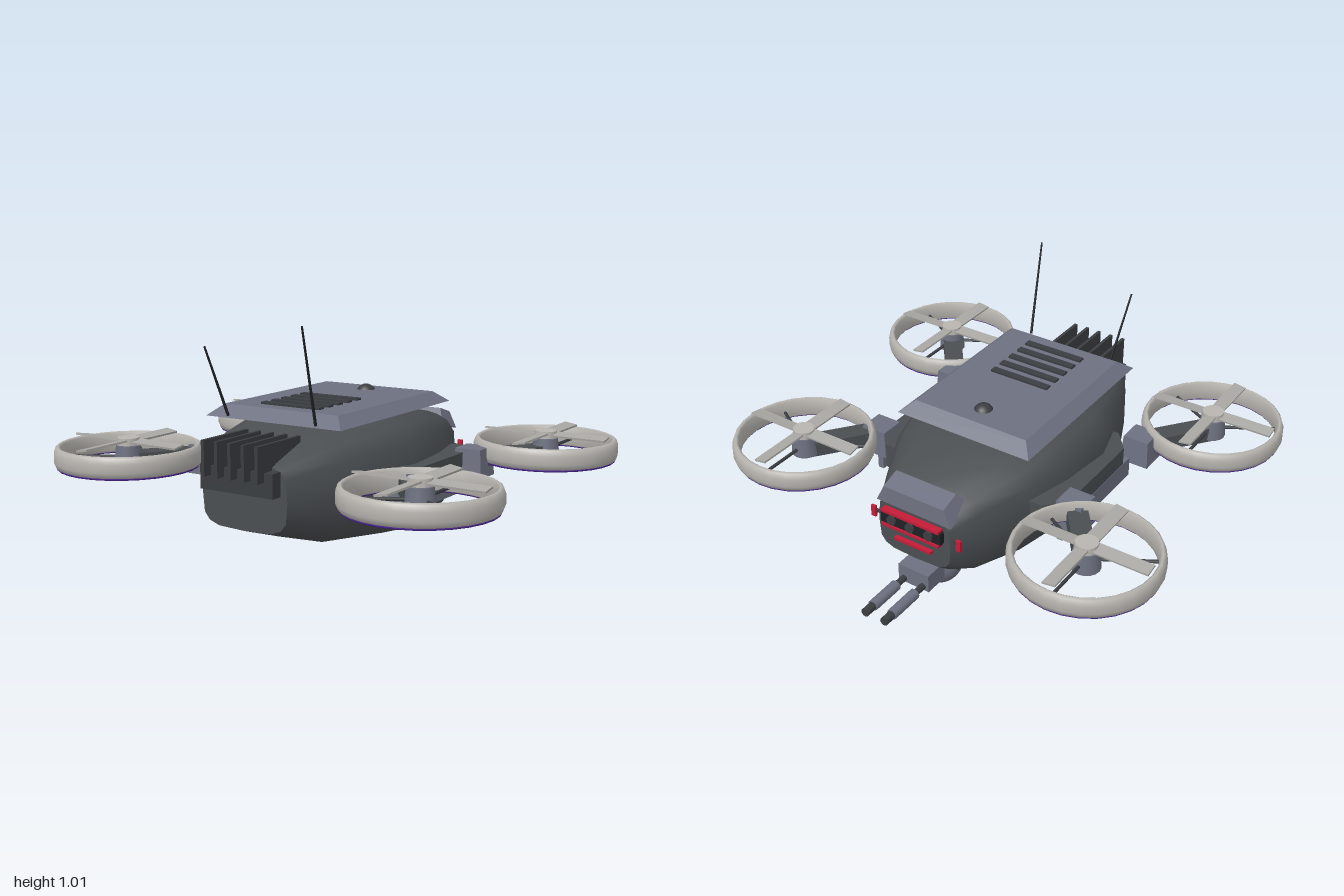
import * as THREE from 'three';
import { toCreasedNormals } from 'three/addons/utils/BufferGeometryUtils.js';

const mat = (name, color, side = THREE.FrontSide) => {
  const m = new THREE.MeshStandardMaterial({ color, side });
  m.name = name;
  return m;
};

export function createModel() {
  const root = new THREE.Group();
  const hullGrey = mat('hull dark grey', 0x4a4e51);
  const armour = mat('armour blue grey', 0x6d7080);
  const dark = mat('trim charcoal', 0x3a3d41);
  const black = mat('sensor black', 0x1f2124);
  const pale = mat('duct pale grey', 0xb8b5b0);
  const blade = mat('blade grey', 0xa9a8a4);
  const red = mat('light red', 0xc41c38);
  const purple = mat('glow purple', 0x4b2590);

  const add = (name, geo, material, x = 0, y = 0, z = 0, parent = root) => {
    const m = new THREE.Mesh(geo, material);
    m.name = name;
    m.position.set(x, y, z);
    parent.add(m);
    return m;
  };
  const box = (name, material, w, h, d, x, y, z, parent) =>
    add(name, new THREE.BoxGeometry(w, h, d), material, x, y, z, parent);

  // Box whose upper face is smaller than its base
  const frustum = (w, h, d, topW, topD) => {
    const g = new THREE.BoxGeometry(w, h, d);
    const p = g.attributes.position;
    for (let i = 0; i < p.count; i++) {
      if (p.getY(i) > 0) p.setXYZ(i, p.getX(i) * topW / w, p.getY(i), p.getZ(i) * topD / d);
    }
    g.computeVertexNormals();
    return g;
  };

  // Cylinder joining two points
  const rod = (name, material, a, b, r0, r1 = r0, parent = root, sides = 12) => {
    const from = new THREE.Vector3(...a), to = new THREE.Vector3(...b);
    const dir = to.clone().sub(from);
    const mid = from.clone().add(to).multiplyScalar(0.5);
    const m = add(name, new THREE.CylinderGeometry(r1, r0, dir.length(), sides), material, mid.x, mid.y, mid.z, parent);
    m.quaternion.setFromUnitVectors(new THREE.Vector3(0, 1, 0), dir.normalize());
    return m;
  };

  // Hull: rounded-square sections [z, half width, bottom, top]
  const sections = [
    [0.72, 0, 0.36, 0.36], [0.72, 0.2, 0.23, 0.5], [0.49, 0.32, 0.155, 0.58], [0.14, 0.418, 0.12, 0.622],
    [-0.1, 0.39, 0.125, 0.615], [-0.31, 0.338, 0.13, 0.575], [-0.51, 0.24, 0.14, 0.525],
    [-0.6, 0.195, 0.185, 0.485], [-0.635, 0.175, 0.215, 0.465], [-0.635, 0, 0.34, 0.34],
  ];
  const N = 16, pos = [], idx = [];
  const soft = (v) => Math.sign(v) * Math.sqrt(Math.abs(v));
  sections.forEach(([z, w, lo, hi], i) => {
    for (let j = 0; j < N; j++) {
      const t = (j / N) * Math.PI * 2;
      pos.push(w * soft(Math.cos(t)), (lo + hi) / 2 + (hi - lo) / 2 * soft(Math.sin(t)), z);
      if (i === sections.length - 1) continue;
      const a = i * N + j, b = i * N + (j + 1) % N;
      idx.push(a, a + N, b, b, a + N, b + N);
    }
  });
  const hull = new THREE.BufferGeometry();
  hull.setAttribute('position', new THREE.Float32BufferAttribute(pos, 3));
  hull.setIndex(idx);
  add('hull', toCreasedNormals(hull, 0.75), hullGrey);

  // Top armour plate, vent slots and dome
  add('topPlate', frustum(0.64, 0.045, 0.85, 0.54, 0.73), armour, 0, 0.6425, 0.12);
  for (let i = 0; i < 5; i++) box('ventSlot', dark, 0.28, 0.014, 0.032, 0, 0.667, 0.132 + i * 0.068);
  add('topDome', new THREE.SphereGeometry(0.045, 20, 12), dark, 0, 0.643, -0.145);

  // Antennas
  rod('leftAntenna', black, [0.208, 0.63, 0.545], [0.246, 1.018, 0.685], 0.006, 0.004, root, 8);
  rod('rightAntenna', black, [-0.208, 0.63, 0.545], [-0.236, 0.912, 0.65], 0.006, 0.004, root, 8);

  // Cooling fins and their base
  box('finBase', dark, 0.34, 0.095, 0.12, 0, 0.432, 0.71);
  for (let i = -2; i <= 2; i++) box('coolingFin', dark, 0.014, 0.14, 0.275, i * 0.0625, 0.513, 0.672);

  // Nose visor, sensor bar and lights
  add('noseVisor', frustum(0.36, 0.07, 0.14, 0.29, 0.09), armour, 0, 0.492, -0.58).rotation.x = -0.3;
  box('sensorBar', black, 0.29, 0.055, 0.04, 0, 0.385, -0.64);
  for (const y of [0.418, 0.352]) box('sensorLight', red, 0.28, 0.012, 0.05, 0, y, -0.642);
  for (const x of [-0.09, 0, 0.09]) {
    rod('sensorLens', dark, [x, 0.385, -0.65], [x, 0.385, -0.67], 0.021, 0.021, root, 16);
  }
  box('chinLight', red, 0.18, 0.012, 0.022, 0, 0.29, -0.644);

  // Belly turret with twin barrels
  box('turretPlate', dark, 0.24, 0.03, 0.285, 0, 0.135, -0.367);
  add('turretBall', new THREE.SphereGeometry(0.1, 24, 16), armour, 0, 0.105, -0.477);
  box('barrelMount', armour, 0.15, 0.08, 0.11, 0, 0.125, -0.6);
  for (const x of [-0.047, 0.047]) {
    rod('barrel', dark, [x, 0.105, -0.63], [x, 0.105, -0.89], 0.014);
    rod('barrelSleeve', armour, [x, 0.105, -0.71], [x, 0.105, -0.86], 0.023);
    rod('muzzle', dark, [x, 0.105, -0.86], [x, 0.105, -0.91], 0.018);
  }

  // Shared duct shapes
  const ring = new THREE.LatheGeometry([
    [0.283, -0.044], [0.295, -0.04], [0.304, -0.018], [0.304, 0.018], [0.296, 0.04],
    [0.286, 0.046], [0.276, 0.038], [0.272, 0], [0.276, -0.038], [0.283, -0.044],
  ].map(([x, y]) => new THREE.Vector2(x, y)), 28);
  const glow = new THREE.TorusGeometry(0.288, 0.006, 6, 28).rotateX(Math.PI / 2);

  // One ducted rotor, centred on its hub axis
  const rotor = (x, z) => {
    const g = new THREE.Group();
    g.name = 'rotor';
    g.position.set(x, 0.43, z);
    root.add(g);
    add('duct', ring, pale, 0, 0, 0, g);
    add('ductGlow', glow, purple, 0, -0.043, 0, g);
    add('hub', new THREE.CylinderGeometry(0.046, 0.048, 0.03, 16), pale, 0, 0.057, 0, g);
    add('motor', new THREE.CylinderGeometry(0.052, 0.06, 0.085, 16), armour, 0, -0.002, 0, g);
    for (let i = 0; i < 4; i++) {
      const arm = new THREE.Group();
      arm.name = 'bladeArm';
      arm.rotation.y = i * Math.PI / 2;
      g.add(arm);
      box('blade', blade, 0.235, 0.008, 0.056, 0.155, 0.058, 0, arm).rotation.x = 0.16;
    }
    for (let i = 0; i < 3; i++) {
      const t = Math.PI / 6 + i * Math.PI * 2 / 3;
      rod('ductSpoke', dark, [0, -0.01, 0], [0.28 * Math.cos(t), -0.01, 0.28 * Math.sin(t)], 0.007, 0.007, g, 8);
    }
  };

  // Side pod outline seen from above
  const podShape = new THREE.Shape([
    [0.33, -0.31], [0.39, -0.31], [0.465, -0.22], [0.465, 0.22], [0.39, 0.31], [0.33, 0.31],
  ].map(([x, y]) => new THREE.Vector2(x, y)));

  for (const s of [-1, 1]) {
    // Side pod and rail
    const pod = new THREE.ExtrudeGeometry(podShape, { depth: 0.115, bevelEnabled: false });
    pod.rotateX(Math.PI / 2);
    if (s < 0) pod.rotateY(Math.PI);
    add('sidePod', pod, hullGrey, 0, 0.435, 0);
    box('sideRail', armour, 0.028, 0.085, 0.55, s * 0.453, 0.3125, 0);
    box('sideMarker', red, 0.022, 0.05, 0.012, s * 0.208, 0.362, -0.625);
    box('markerStalk', dark, 0.05, 0.012, 0.01, s * 0.185, 0.362, -0.618);

    // Rotor with bracket and diagonal arm at each corner
    for (const [bz, rz] of [[-0.215, -0.48], [0.335, 0.597]]) {
      add('armBracket', frustum(0.13, 0.12, 0.125, 0.115, 0.11), armour, s * 0.487, 0.392, bz);
      const dx = s * 0.205, dz = rz - bz;
      const arm = box('rotorArm', hullGrey, 0.085, 0.065, Math.hypot(dx, dz), s * 0.5895, 0.408, (bz + rz) / 2);
      arm.rotation.y = Math.atan2(dx, dz);
      rotor(s * 0.692, rz);
    }
  }
  return root;
}
